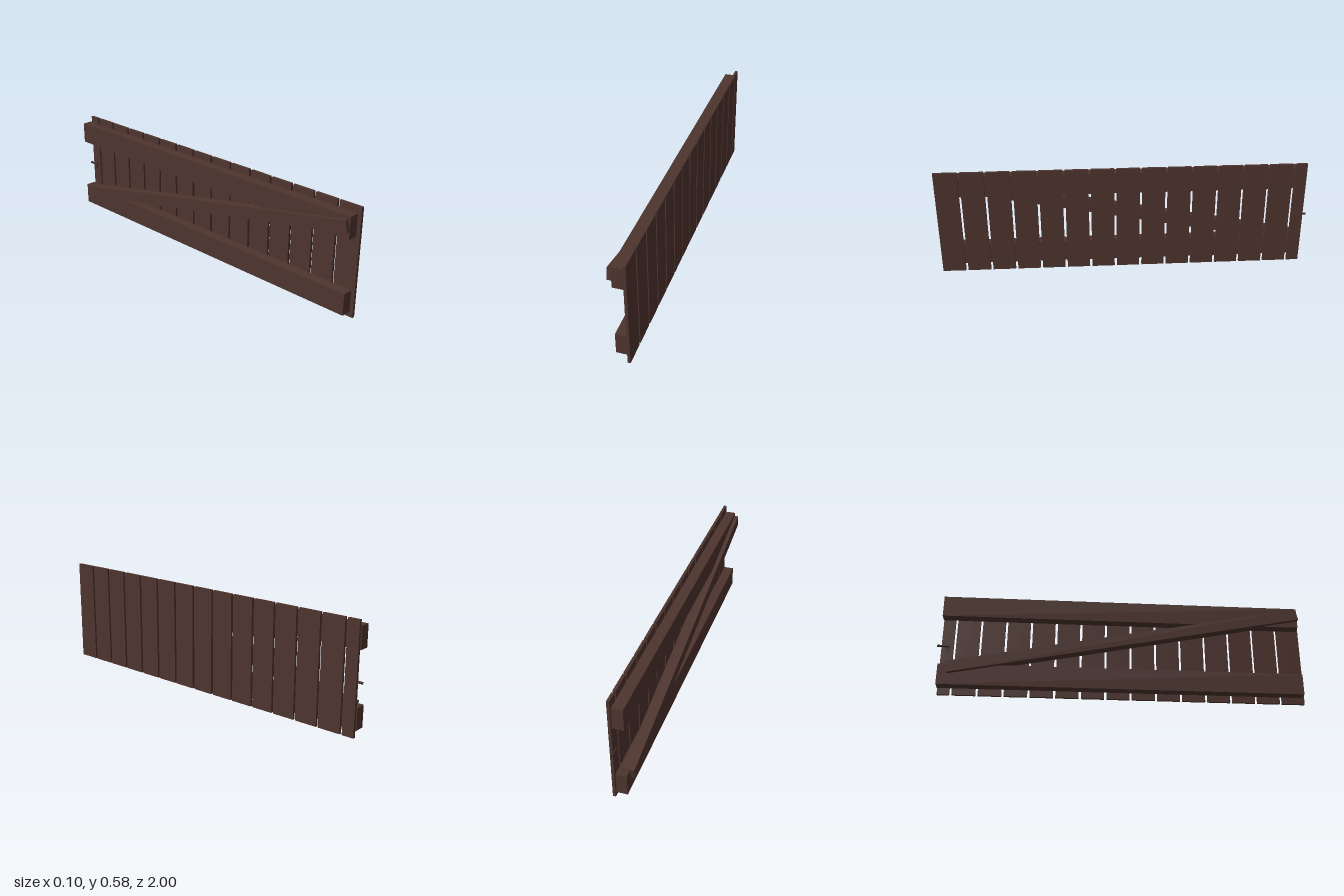
import * as THREE from 'three';

export function createModel() {
  const model = new THREE.Group();
  model.name = 'plankGate';

  const wood = new THREE.MeshStandardMaterial({ color: 0x4e342e });
  wood.name = 'dark brown wood';
  const iron = new THREE.MeshStandardMaterial({ color: 0x3e2723 });
  iron.name = 'dark latch';

  function add(name, geometry, material, x, y, z) {
    const mesh = new THREE.Mesh(geometry, material);
    mesh.name = name;
    mesh.position.set(x, y, z);
    model.add(mesh);
    return mesh;
  }

  // Row of upright planks, the last one cut narrow
  const pitch = 0.1367, plankWidth = 0.124, height = 0.583;
  for (let i = 0; i < 15; i++) {
    const start = 1 - i * pitch;
    const end = Math.max(start - plankWidth, -0.978);
    add('plank' + (i + 1), new THREE.BoxGeometry(0.015, height, start - end), wood,
      0.0415, height / 2, (start + end) / 2);
  }

  // Lower and upper rails
  for (const [name, y] of [['lowerRail', 0.092], ['upperRail', 0.4925]]) {
    add(name, new THREE.BoxGeometry(0.056, 0.117, 1.963), wood, 0, y, 0.0025);
  }

  // Diagonal brace, let into both rails
  const brace = add('diagonalBrace', new THREE.BoxGeometry(0.056, 0.063, 1.95), wood,
    -0.022, 0.3155, 0.0225);
  brace.rotation.x = -0.196;

  // Latch: sliding bolt with a drooping handle
  const bolt = add('latchBolt', new THREE.CylinderGeometry(0.0065, 0.0065, 0.065, 10), iron,
    0.0305, 0.279, -0.9675);
  bolt.rotation.x = Math.PI / 2;
  const handle = add('latchHandle', new THREE.CylinderGeometry(0.0035, 0.0035, 0.032, 8), iron,
    0.0265, 0.267, -0.943);
  handle.rotation.z = -0.24;

  return model;
}
